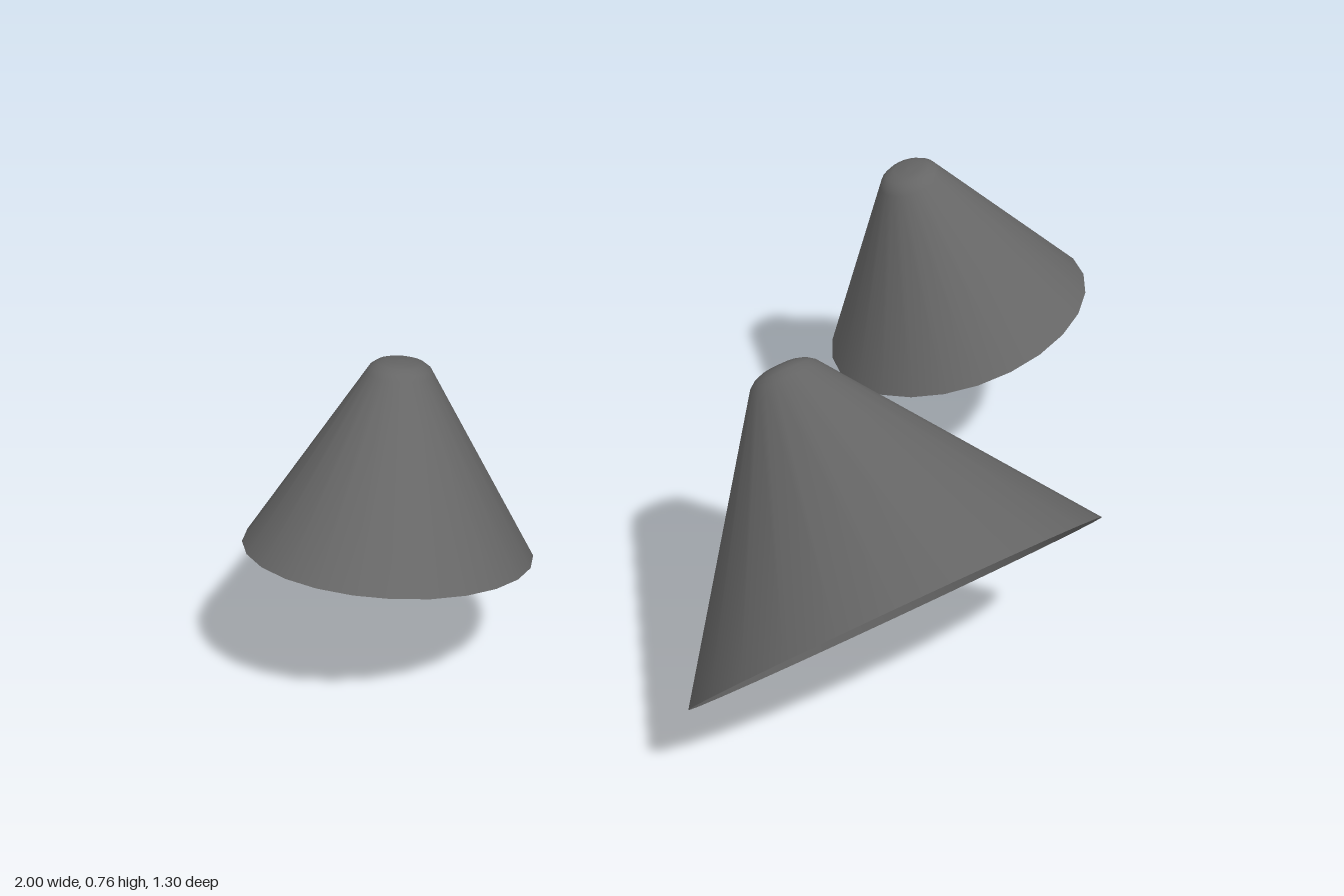
import * as THREE from 'three';

const SIDES = 24;
const material = new THREE.MeshStandardMaterial({ color: 0x666666, side: THREE.DoubleSide });

// Rounded tip profile as [radius, rise], both in cap radii
const TIP = [[1, 0], [0.79, 0.153], [0.5, 0.245], [0, 0.267]];

// Hollow cone, open at the rim with a smoothly rounded tip; axis along +y
function createCone(name, rimRadius, capRadius, height) {
  // Second point lies on the straight wall and keeps its shading even
  const profile = [
    new THREE.Vector2(rimRadius, 0),
    new THREE.Vector2(THREE.MathUtils.lerp(rimRadius, capRadius, 0.97), height * 0.97),
    ...TIP.map(([r, y]) => new THREE.Vector2(r * capRadius, height + y * capRadius)),
  ];
  const cone = new THREE.Mesh(new THREE.LatheGeometry(profile, SIDES), material);
  cone.name = name;
  return cone;
}

export function createModel() {
  const model = new THREE.Group();
  model.name = 'threeCones';

  // Large cone, opening forward and down
  const front = createCone('frontCone', 0.447, 0.071, 0.52);
  front.position.set(0, 0.317, 0.335);
  front.rotation.x = -Math.PI / 4;
  model.add(front);

  // Two smaller cones behind, mirrored and leaning inwards
  const up = new THREE.Vector3(0, 1, 0);
  for (const [name, s] of [['leftCone', 1], ['rightCone', -1]]) {
    const cone = createCone(name, 0.287, 0.06, 0.375);
    cone.position.set(0.722 * s, 0.378, -0.37);
    cone.quaternion.setFromUnitVectors(up, new THREE.Vector3(-0.25 * s, 0.952, -0.17).normalize());
    model.add(cone);
  }
  return model;
}
